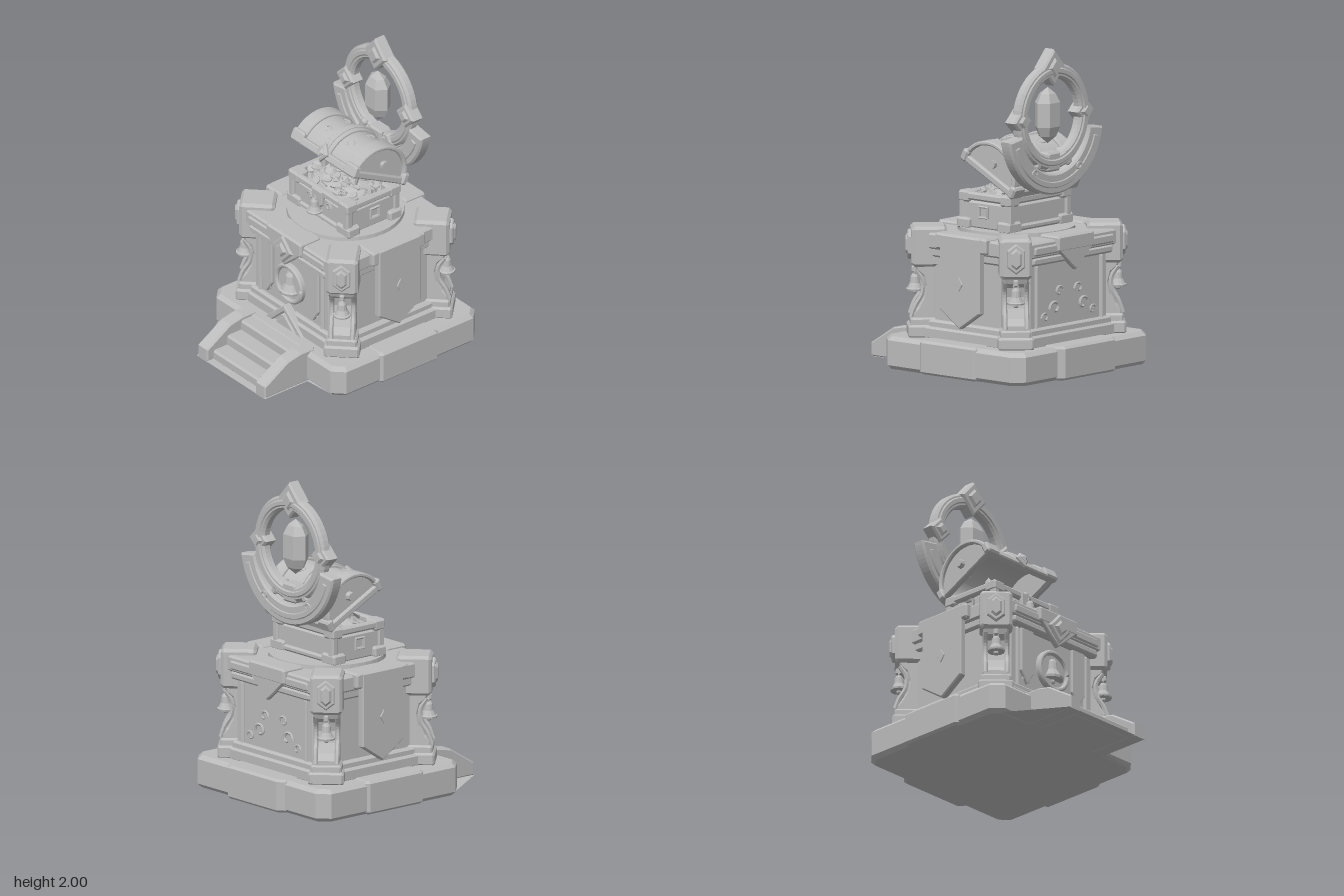
import * as THREE from 'three';

const CZ = -0.15; // centre of the monument in z
const stone = new THREE.MeshStandardMaterial({ color: 0xbcbcbc, flatShading: true, side: THREE.DoubleSide });
stone.name = 'grey stone';

function add(parent, name, geo, x = 0, y = 0, z = 0, rx = 0, ry = 0, rz = 0) {
  const m = new THREE.Mesh(geo, stone);
  m.name = name;
  m.position.set(x, y, z);
  m.rotation.set(rx, ry, rz);
  parent.add(m);
  return m;
}
function group(parent, name, x = 0, y = 0, z = 0, ry = 0) {
  const g = new THREE.Group();
  g.name = name;
  g.position.set(x, y, z);
  g.rotation.y = ry;
  parent.add(g);
  return g;
}
const poly = pts => new THREE.Shape(pts.map(p => new THREE.Vector2(p[0], p[1])));
// Extrusion centred in depth, with a one-step chamfer that stays inside the outline
function extr(shape, depth, c = 0.008, curveSegments = 16) {
  const g = new THREE.ExtrudeGeometry(shape, {
    depth: depth - 2 * c, bevelEnabled: c > 0, bevelSize: c, bevelOffset: -c, bevelThickness: c, bevelSegments: 1, curveSegments });
  return g.translate(0, 0, -(depth - 2 * c) / 2);
}
// Side profile (z, y) extruded along x
const sideExtr = (shape, depth, c, seg) => extr(shape, depth, c, seg).rotateY(-Math.PI / 2);
function octagon(w, d, k) {
  const a = w / 2, b = d / 2;
  return poly([[-a + k, -b], [a - k, -b], [a, -b + k], [a, b - k], [a - k, b], [-a + k, b], [-a, b - k], [-a, -b + k]]);
}
const block = (w, h, d, c = 0.012) => extr(octagon(w, h, c), d, c);
const slab = (w, h, d, k, c = 0.012) => extr(octagon(w, d, k), h, c).rotateX(-Math.PI / 2);
function arcBand(ro, ri, a0, a1) {
  const s = new THREE.Shape();
  s.absarc(0, 0, ro, a0, a1, false);
  s.absarc(0, 0, ri, a1, a0, true);
  return s;
}
const diamond = (w, h) => poly([[0, -h], [w, 0], [0, h], [-w, 0]]);
function frameDiamond(parent, name, w, h, d, x, y, z) {
  add(parent, name, extr(diamond(w, h), d, 0.012), x, y, z);
  add(parent, name + 'Stone', extr(diamond(w * 0.55, h * 0.55), d + 0.03, 0.014), x, y, z);
}
function bell(parent, name, s, x, y, z) {
  const pts = [[0, 0.5], [0.15, 0.5], [0.24, 0.35], [0.28, 0], [0.42, -0.28], [0.5, -0.32], [0.48, -0.42], [0, -0.42]];
  add(parent, name, new THREE.LatheGeometry(pts.map(p => new THREE.Vector2(p[0] * s, p[1] * s)).reverse(), 12), x, y, z);
  add(parent, name + 'Clapper', new THREE.SphereGeometry(s * 0.15, 8, 6), x, y - s * 0.48, z);
  add(parent, name + 'Loop', new THREE.TorusGeometry(s * 0.13, s * 0.05, 5, 10), x, y + s * 0.58, z);
}
function scroll(parent, x, y, z, r, flip) {
  const pts = [];
  for (let i = 0; i <= 14; i++) {
    const a = i * 0.36, q = r * (1 - i / 20);
    pts.push(new THREE.Vector3(flip * Math.cos(a) * q, Math.sin(a) * q, 0));
  }
  add(parent, 'scroll', new THREE.TubeGeometry(new THREE.CatmullRomCurve3(pts), 20, r * 0.2, 5), x, y, z);
}

function buildBase(root) {
  add(root, 'baseStone', slab(1.25, 0.205, 1.14, 0.07, 0.025), 0, 0.1025, CZ);
  for (const s of [-1, 1]) {
    add(root, 'baseSideStone', slab(0.16, 0.21, 0.46, 0.02, 0.015), s * 0.56, 0.106, -0.14);
    add(root, 'stairRail', sideExtr(poly([[0.36, 0], [0.755, 0], [0.755, 0.085], [0.57, 0.2], [0.47, 0.22], [0.36, 0.22]]), 0.095, 0.01), s * 0.28, 0, 0);
  }
  add(root, 'baseBackStone', slab(0.54, 0.21, 0.2, 0.04, 0.015), 0, 0.106, -0.655);
  [[0.71, 0.07], [0.6, 0.135], [0.49, 0.2]].forEach(([z, h]) => add(root, 'stairTread', block(0.48, h, z - 0.36), 0, h / 2, (z + 0.36) / 2));
  // Thin floor joining the base and the stairs
  add(root, 'floor', new THREE.ShapeGeometry(poly([[-0.56, -0.4], [0.56, -0.4], [0.33, -0.42], [0.33, -0.755], [-0.33, -0.755]])).rotateX(-Math.PI / 2), 0, 0.003, 0);
}

function buildBody(root) {
  const g = group(root, 'altar', 0, 0, CZ);
  add(g, 'plinthLower', slab(1.02, 0.08, 0.94, 0.14), 0, 0.235, 0);
  add(g, 'plinthUpper', slab(0.97, 0.06, 0.9, 0.12), 0, 0.285, 0);
  add(g, 'core', slab(0.9, 0.5, 0.85, 0.1, 0.01), 0, 0.54, 0);
  add(g, 'corniceLower', slab(0.95, 0.06, 0.91, 0.1), 0, 0.735, 0);
  add(g, 'corniceUpper', slab(0.98, 0.1, 0.94, 0.1), 0, 0.805, 0);
  add(g, 'topDisc', new THREE.CylinderGeometry(0.36, 0.365, 0.05, 40), 0, 0.855, 0);

  // Front and back faces
  for (const s of [1, -1]) {
    const f = group(g, s > 0 ? 'frontFace' : 'backFace', 0, 0, 0, s > 0 ? 0 : Math.PI);
    add(f, 'topSlab', block(0.34, 0.1, 0.16), 0, 0.825, 0.415);
    add(f, 'slabFlap', extr(poly([[-0.17, 0.8], [-0.06, 0.7], [0, 0.65], [0.06, 0.7], [0.17, 0.8]]), 0.04, 0.008), 0, 0, 0.472);
    add(f, 'beam', block(0.74, 0.06, 0.05), 0, 0.8, 0.455);
    add(f, 'beam', block(0.74, 0.05, 0.05), 0, 0.735, 0.445);
    for (const t of [-1, 1]) {
      add(f, 'edgePost', block(0.03, 0.42, 0.04), t * 0.3, 0.5, 0.42);
      scroll(f, t * 0.22, 0.37, 0.428, 0.035, t);
    }
    if (s > 0) {
      frameDiamond(f, 'slabDiamond', 0.095, 0.1, 0.03, 0, 0.77, 0.492);
      add(f, 'emblemRing', extr(arcBand(0.135, 0.105, 0, Math.PI * 2), 0.05, 0.01, 24), 0, 0.5, 0.435);
      add(f, 'emblemDisc', new THREE.CylinderGeometry(0.11, 0.11, 0.03, 28).rotateX(Math.PI / 2), 0, 0.5, 0.425);
      bell(f, 'emblemBell', 0.15, 0, 0.505, 0.43);
      for (const t of [-1, 1])
        add(f, 'pennant', extr(poly([[-0.055, 0.71], [-0.055, 0.42], [0, 0.34], [0.055, 0.42], [0.055, 0.71]]), 0.025, 0.006), t * 0.225, 0, 0.432);
      add(f, 'chevron', extr(poly([[-0.18, 0.2], [-0.12, 0.2], [0, 0.31], [0.12, 0.2], [0.18, 0.2], [0, 0.36]]), 0.06, 0.008), 0, 0, 0.46);
      add(f, 'chevronCore', extr(poly([[-0.09, 0.2], [0.09, 0.2], [0, 0.285]]), 0.05, 0.008), 0, 0, 0.46);
    } else {
      for (const t of [-1, 1]) {
        scroll(f, t * 0.13, 0.42, 0.428, 0.05, t);
        scroll(f, t * 0.09, 0.52, 0.428, 0.04, -t);
      }
    }
  }
  // Side faces with long pointed banners
  for (const s of [-1, 1]) {
    const f = group(g, 'sideFace', 0, 0, 0, s * Math.PI / 2);
    add(f, 'sideSlab', block(0.42, 0.1, 0.15), 0, 0.82, 0.45);
    add(f, 'sideBanner', extr(poly([[-0.165, 0.865], [-0.165, 0.4], [0, 0.29], [0.165, 0.4], [0.165, 0.865]]), 0.05, 0.008), 0, 0, 0.505);
    add(f, 'bannerMark', extr(diamond(0.03, 0.045), 0.01, 0.003), 0, 0.57, 0.532);
  }
  // Corner pillars, each facing outward on its diagonal
  for (const sx of [-1, 1]) for (const sz of [-1, 1]) {
    const p = group(g, 'cornerPillar', sx * 0.42, 0, sz * 0.36, Math.atan2(sx, sz));
    add(p, 'pillarFoot', block(0.22, 0.08, 0.28), 0, 0.24, -0.02);
    add(p, 'pillarFootUpper', block(0.19, 0.06, 0.25), 0, 0.295, -0.02);
    const shaft = poly([[-0.15, 0.3], [0.095, 0.3], [0.095, 0.35], [0.06, 0.39], [0.03, 0.45], [0.015, 0.52], [0.03, 0.58], [0.065, 0.61], [0.08, 0.65], [-0.15, 0.65]]);
    add(p, 'pillarShaft', sideExtr(shaft, 0.16, 0.012), 0, 0, 0);
    for (const t of [-1, 1]) {
      const rib = new THREE.CatmullRomCurve3([[0.1, 0.33], [0.075, 0.4], [0.035, 0.47], [0.03, 0.55], [0.07, 0.62]].map(q => new THREE.Vector3(t * 0.067, q[1], q[0])));
      add(p, 'pillarRib', new THREE.TubeGeometry(rib, 14, 0.016, 6), 0, 0, 0);
    }
    add(p, 'pillarHead', block(0.2, 0.25, 0.22, 0.018), 0, 0.765, -0.01);
    add(p, 'pillarHeadLink', block(0.17, 0.18, 0.2), 0, 0.76, -0.15);
    const hex = (w, h) => poly([[0, -h], [w, -h * 0.55], [w, h * 0.55], [0, h], [-w, h * 0.55], [-w, -h * 0.55]]);
    add(p, 'plaqueFrame', extr(hex(0.055, 0.095), 0.03, 0.008), 0, 0.77, 0.105);
    add(p, 'plaqueGem', extr(hex(0.034, 0.068), 0.04, 0.012), 0, 0.77, 0.113);
    bell(p, 'pillarBell', 0.11, 0, 0.53, 0.075);
    add(p, 'bellHook', block(0.03, 0.04, 0.07, 0.006), 0, 0.615, 0.06);
  }
}

function buildChest(root) {
  const g = group(root, 'chest', 0, 0, -0.14);
  add(g, 'chestFloor', block(0.55, 0.17, 0.39), 0, 0.96, 0);
  for (const s of [-1, 1]) {
    add(g, 'chestLongRim', block(0.57, 0.05, 0.04), 0, 1.075, s * 0.19);
    add(g, 'chestShortRim', block(0.04, 0.05, 0.4), s * 0.27, 1.075, 0);
    add(g, 'chestLongFoot', block(0.56, 0.04, 0.03), 0, 0.9, s * 0.195);
    add(g, 'sideHandle', new THREE.TorusGeometry(0.045, 0.011, 5, 4).rotateZ(Math.PI / 4).rotateY(Math.PI / 2), s * 0.293, 0.985, 0);
    scroll(g, s * 0.09, 1.0, 0.197, 0.03, s);
    for (const t of [-1, 1]) {
      add(g, 'chestCornerFoot', block(0.13, 0.07, 0.1), s * 0.24, 0.905, t * 0.165);
      add(g, 'chestCornerPost', block(0.05, 0.22, 0.05, 0.01), s * 0.262, 0.99, t * 0.187);
      add(g, 'chestCornerCap', block(0.1, 0.07, 0.09), s * 0.242, 1.07, t * 0.17);
    }
  }
  add(g, 'lockPlate', extr(poly([[-0.05, 1.09], [-0.05, 1.0], [0, 0.95], [0.05, 1.0], [0.05, 1.09]]), 0.03, 0.006), 0, 0, 0.205);
  bell(g, 'padlockBell', 0.1, 0, 0.985, 0.235);

  // Heap of coins and gems
  let seed = 7;
  const rnd = () => (seed = (seed * 16807) % 2147483647) / 2147483647;
  add(g, 'treasureHeap', new THREE.SphereGeometry(1, 16, 8).scale(0.25, 0.07, 0.17), 0, 1.06, 0);
  for (let i = 0; i < 75; i++) {
    const x = (rnd() - 0.5) * 0.46, z = (rnd() - 0.5) * 0.31;
    const y = 1.065 + 0.06 * Math.max(0, 1 - (x / 0.27) ** 2 - (z / 0.2) ** 2);
    const geo = i % 5 ? new THREE.CylinderGeometry(0.026, 0.026, 0.01, 10) : new THREE.OctahedronGeometry(0.028);
    add(g, i % 5 ? 'coin' : 'gem', geo, x, y + 0.01, z, (rnd() - 0.5) * 1.1, rnd() * 3, (rnd() - 0.5) * 1.1);
  }
  add(g, 'crystal', new THREE.CylinderGeometry(0.025, 0.02, 0.1, 6), -0.15, 1.13, 0.03);
  add(g, 'crystalTip', new THREE.ConeGeometry(0.025, 0.035, 6), -0.15, 1.197, 0.03);
  add(g, 'daggerGrip', new THREE.CylinderGeometry(0.01, 0.01, 0.11, 6), 0.155, 1.15, 0.03, 0, 0, -0.3);
  add(g, 'daggerPommel', new THREE.SphereGeometry(0.02, 8, 6), 0.173, 1.205, 0.03);
  add(g, 'daggerGuard', block(0.08, 0.02, 0.025, 0.004), 0.145, 1.12, 0.03, 0, 0, -0.3);

  // Open hollow lid, tilted back on its hinge
  const lid = group(g, 'lid', 0, 1.205, -0.03);
  lid.rotation.x = -0.47;
  add(lid, 'lidShell', sideExtr(arcBand(0.21, 0.185, 0, Math.PI), 0.54, 0.003, 18));
  for (const x of [-0.25, 0, 0.25]) {
    add(lid, 'lidBand', sideExtr(arcBand(0.228, 0.2, 0, Math.PI), x ? 0.1 : 0.08, 0.008, 18), x, 0, 0);
    if (!x) add(lid, 'lidSpine', sideExtr(arcBand(0.238, 0.2, 0, Math.PI), 0.03, 0.006, 18));
  }
  for (const s of [-1, 1]) {
    add(lid, 'lidEnd', sideExtr(arcBand(0.2, 0.002, 0, Math.PI), 0.025, 0.003, 18), s * 0.265, 0, 0);
    add(lid, 'lidEndRim', block(0.04, 0.045, 0.45, 0.008), s * 0.28, 0.015, 0);
    add(lid, 'lidLongRim', block(0.58, 0.05, 0.04, 0.008), 0, 0.015, s * 0.212);
    add(lid, 'lidRivet', new THREE.CylinderGeometry(0.025, 0.03, 0.03, 8).rotateZ(Math.PI / 2), s * 0.295, 0.1, 0);
    for (const t of [-1, 1]) add(lid, 'lidCorner', block(0.11, 0.08, 0.05), s * 0.255, 0.03, t * 0.215);
    for (const a of [0.75, 1.5]) {
      const sg = group(lid, 'lidScroll', s * 0.11, Math.sin(a) * 0.209, Math.cos(a) * 0.209);
      sg.rotation.x = -a;
      scroll(sg, 0, 0, 0, 0.035, s);
    }
  }
  frameDiamond(lid, 'lidDiamond', 0.05, 0.06, 0.04, 0, 0.03, 0.235);
}

function buildHalo(root) {
  const g = group(root, 'halo', 0, 1.58, -0.43);
  add(g, 'ring', extr(arcBand(0.33, 0.24, 0, Math.PI * 2), 0.07, 0.015, 28));
  add(g, 'ringRaisedBand', extr(arcBand(0.305, 0.265, 0, Math.PI * 2), 0.085, 0.008, 28));
  // Crescent cradle with winged tips
  const c = arcBand(0.44, 0.31, Math.PI + 0.16, Math.PI * 2 - 0.16);
  add(g, 'crescent', extr(c, 0.085, 0.012, 22), 0, -0.04, -0.008);
  add(g, 'crescentRidge', extr(arcBand(0.4, 0.36, Math.PI + 0.3, Math.PI * 2 - 0.3), 0.1, 0.006, 22), 0, -0.04, -0.006);
  frameDiamond(g, 'topDiamond', 0.105, 0.115, 0.09, 0, 0.305, 0.01);
  for (const s of [-1, 1]) {
    frameDiamond(g, 'sideDiamond', 0.085, 0.085, 0.09, s * 0.29, 0, 0.01);
    add(g, 'ringClasp', block(0.05, 0.11, 0.09), s * 0.13, -0.265, 0.01, 0, 0, s * 0.45);
    scroll(g, s * 0.2, -0.33, -0.055, 0.03, s);
  }
  add(g, 'bottomClasp', block(0.12, 0.12, 0.09), 0, -0.28, 0.01);
  // Floating faceted gem
  const pts = [[0, -0.175], [0.065, -0.13], [0.095, -0.07], [0.095, 0.08], [0.06, 0.135], [0, 0.175]];
  add(g, 'floatingGem', new THREE.LatheGeometry(pts.map(p => new THREE.Vector2(...p)), 6).rotateY(Math.PI / 6).scale(1, 1, 0.75), 0, 0.005, 0.025);
}

export function createModel() {
  const root = new THREE.Group();
  root.name = 'treasureShrine';
  [buildBase, buildBody, buildChest, buildHalo].forEach(f => f(root));
  return root;
}
